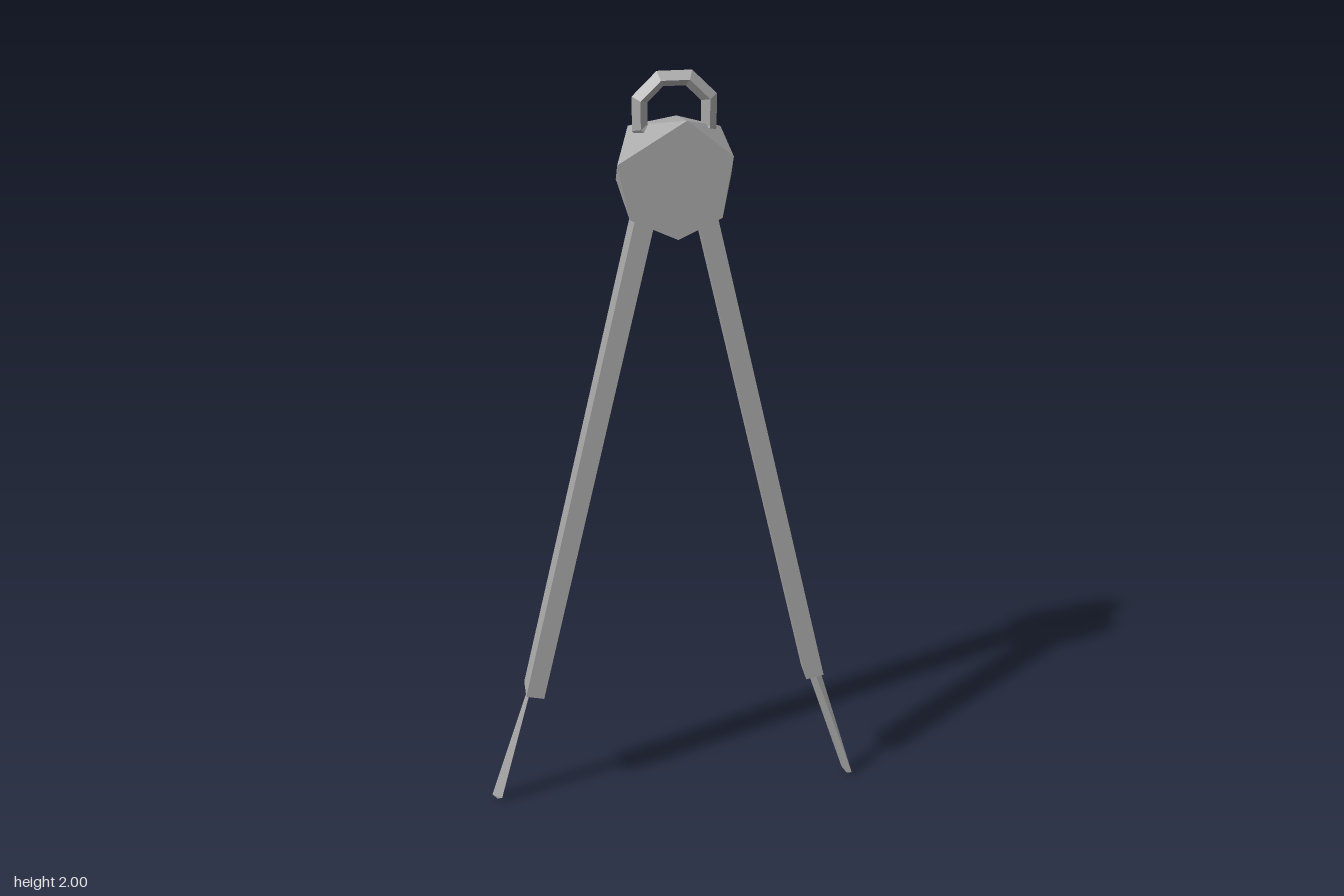
import * as THREE from 'three';
import { ConvexGeometry } from 'three/addons/geometries/ConvexGeometry.js';

export function createModel() {
  const group = new THREE.Group();
  const steel = new THREE.MeshStandardMaterial({ color: 0xa8a8a8, flatShading: true });
  steel.name = 'steel grey';

  const add = (name, geometry) => {
    const mesh = new THREE.Mesh(geometry, steel);
    mesh.name = name;
    group.add(mesh);
    return mesh;
  };
  const hull = (name, points) =>
    add(name, new ConvexGeometry(points.map((p) => new THREE.Vector3(...p))));

  // Faceted hub: a front polygon joined to a staggered back polygon
  const front = [[0.13, 1.81], [0.02, 1.9], [-0.143, 1.8], [-0.115, 1.665], [0, 1.61], [0.105, 1.66]];
  const back = [[0.115, 1.85], [0.01, 1.88], [-0.105, 1.86], [-0.135, 1.73], [-0.07, 1.635], [0.075, 1.635], [0.143, 1.73]];
  hull('hub', [...front.map(([x, y]) => [x, y, 0.053]), ...back.map(([x, y]) => [x, y, -0.056])]);

  // Eight-sided carrying ring with a diamond section
  const ring = add('ring', new THREE.TorusGeometry(0.088, 0.02, 4, 8));
  ring.rotation.z = Math.PI / 8;
  ring.position.set(0, 1.9, -0.017);

  // Square legs splayed outward from the hub
  for (const side of [-1, 1]) {
    const top = new THREE.Vector2(side * 0.045, 1.78);
    const foot = new THREE.Vector2(side * 0.373, 0.343);
    const leg = add(side > 0 ? 'leftLeg' : 'rightLeg',
      new THREE.BoxGeometry(0.048, top.distanceTo(foot), 0.075));
    leg.position.set((top.x + foot.x) / 2, (top.y + foot.y) / 2, -0.0175);
    leg.rotation.z = Math.atan2(foot.x - top.x, top.y - foot.y);
  }

  // Twisted wedge points, each running from a top edge to a diagonal bottom edge
  hull('rightPoint', [
    [-0.382, 0.36, -0.003], [-0.382, 0.36, -0.035], [-0.378, 0.36, -0.018],
    [-0.495, 0.005, -0.04], [-0.47, 0.012, -0.01], [-0.482, 0, -0.026],
  ]);
  hull('leftPoint', [
    [0.357, 0.35, -0.015], [0.393, 0.345, -0.02], [0.375, 0.35, -0.012],
    [0.49, 0.012, 0], [0.468, 0.012, -0.03], [0.48, 0, -0.016],
  ]);

  return group;
}
